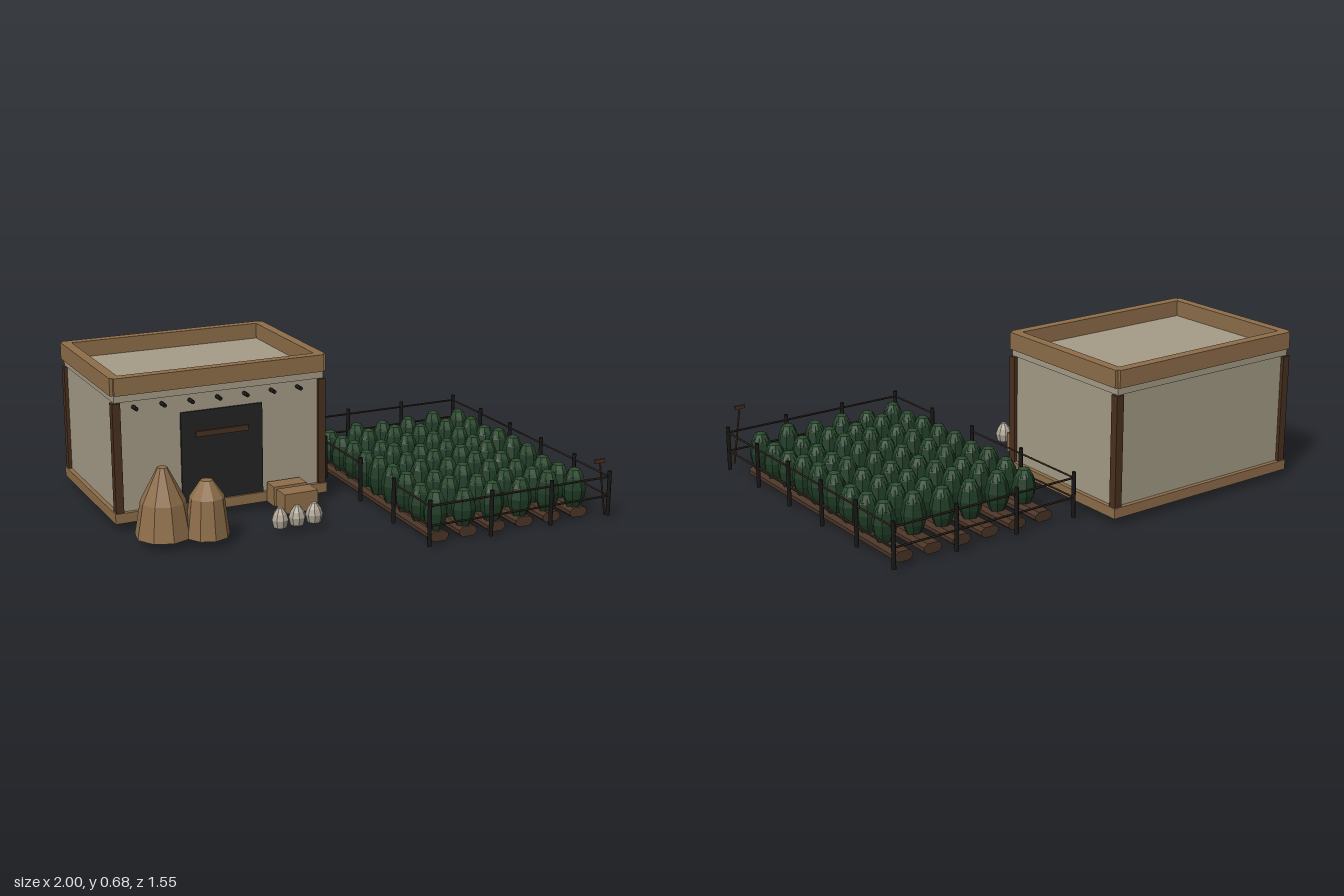
import * as THREE from 'three';

const mat = (name, color) => {
  const m = new THREE.MeshStandardMaterial({ color });
  m.name = name;
  return m;
};

export function createModel() {
  const root = new THREE.Group();
  root.name = 'farmstead';
  const M = {
    plaster: mat('plaster', 0xa59c87),
    clay: mat('clay', 0x8e6e4a),
    timber: mat('timber', 0x49301f),
    door: mat('doorBlack', 0x232323),
    soil: mat('soil', 0x4a3427),
    leaf: mat('darkLeaf', 0x1e3a24),
    tip: mat('lightLeaf', 0x2a4a2d),
    post: mat('fencePost', 0x191817),
    rail: mat('fenceRail', 0x2b2019),
    sack: mat('sackCloth', 0xb0a697),
  };

  // Helpers
  const group = (name) => {
    const g = new THREE.Group();
    g.name = name;
    root.add(g);
    return g;
  };
  const add = (parent, name, geo, m, x = 0, y = 0, z = 0) => {
    const mesh = new THREE.Mesh(geo, m);
    mesh.name = name;
    mesh.position.set(x, y, z);
    parent.add(mesh);
    return mesh;
  };
  // Box from its minimum and maximum corners
  const box = (parent, name, m, x0, x1, y0, y1, z0, z1) =>
    add(parent, name, new THREE.BoxGeometry(x1 - x0, y1 - y0, z1 - z0), m,
      (x0 + x1) / 2, (y0 + y1) / 2, (z0 + z1) / 2);
  const faceted = (geo) => {
    const g = geo.index ? geo.toNonIndexed() : geo;
    g.computeVertexNormals();
    return g;
  };
  const lathe = (profile, sides) => faceted(
    new THREE.LatheGeometry(profile.map(([r, y]) => new THREE.Vector2(r, y)), sides));
  // Thin rod between two points
  const rod = (parent, name, m, a, b, r, sides = 6) => {
    const p = new THREE.Vector3(...a), q = new THREE.Vector3(...b);
    const d = q.clone().sub(p);
    const mesh = add(parent, name, new THREE.CylinderGeometry(r, r, d.length(), sides), m);
    mesh.position.copy(p).add(q).multiplyScalar(0.5);
    mesh.quaternion.setFromUnitVectors(new THREE.Vector3(0, 1, 0), d.normalize());
    return mesh;
  };

  // House: plinth, walls, roof slab
  const house = group('house');
  box(house, 'plinth', M.clay, -1, 0, 0.035, 0.08, -0.777, -0.038);
  box(house, 'walls', M.plaster, -0.98, -0.02, 0.08, 0.57, -0.757, -0.057);
  box(house, 'roofSlab', M.plaster, -0.985, -0.015, 0.568, 0.605, -0.764, -0.05);

  // Parapet with small notches at the corners
  for (const [x0, x1] of [[-1, -0.955], [-0.045, 0]])
    box(house, 'parapetSide', M.clay, x0, x1, 0.6, 0.677, -0.763, -0.052);
  for (const [z0, z1] of [[-0.777, -0.732], [-0.083, -0.038]])
    box(house, 'parapetEnd', M.clay, -0.986, -0.014, 0.6, 0.677, z0, z1);

  // Corner posts
  for (const x of [-0.977, -0.023])
    for (const z of [-0.754, -0.061])
      box(house, 'cornerPost', M.timber, x - 0.018, x + 0.018, 0.08, 0.566, z - 0.018, z + 0.018);

  // Door, its bar and the row of beam ends
  box(house, 'door', M.door, -0.69, -0.31, 0.08, 0.49, -0.065, -0.048);
  box(house, 'doorBar', M.timber, -0.625, -0.38, 0.376, 0.4, -0.05, -0.038);
  for (let i = 0; i < 7; i++) {
    const x = -0.898 + i * 0.1265;
    rod(house, 'beamEnd', M.post, [x, 0.542, -0.065], [x, 0.542, -0.012], 0.009, 8);
  }

  // Clay heaps
  const heaps = group('heaps');
  const heap = (x, z, r, h, topR, shoulder) => add(heaps, 'heap', lathe([
    [0, 0], [r, 0], [r * 0.78, shoulder], [topR, h], [0, h]], 9), M.clay, x, 0.035, z);
  heap(-0.855, 0.163, 0.125, 0.298, 0.022, 0.15);
  heap(-0.69, 0.243, 0.096, 0.243, 0.026, 0.17);

  // Sacks
  const sacks = group('sacks');
  const sackGeo = lathe([[0, 0], [0.03, 0], [0.038, 0.035], [0.03, 0.06], [0.012, 0.085], [0, 0.085]], 8);
  for (let i = 0; i < 3; i++)
    add(sacks, 'sack', sackGeo, M.sack, -0.377 + i * 0.08, 0.035, 0.288).rotation.y = i * 0.6;

  // Crates beside the door
  const crates = group('crates');
  box(crates, 'backCrate', M.clay, -0.297, -0.139, 0.035, 0.125, -0.038, 0.043);
  box(crates, 'frontCrate', M.clay, -0.297, -0.139, 0.035, 0.125, 0.07, 0.158);

  // Field: soil ridges with rows of plants
  const field = group('field');
  const ridge = new THREE.Shape([[-0.026, 0], [0.026, 0], [0.043, 0.014], [0.043, 0.031],
    [0.026, 0.045], [-0.026, 0.045], [-0.043, 0.031], [-0.043, 0.014]]
    .map(([x, y]) => new THREE.Vector2(x, y)));
  const ridgeGeo = new THREE.ExtrudeGeometry(ridge, { depth: 1.204, bevelEnabled: false });
  const bodyGeo = lathe([[0, 0], [0.03, 0], [0.048, 0.05], [0.053, 0.09], [0.043, 0.14], [0.03, 0.165], [0, 0.165]], 8);
  const tipGeo = lathe([[0.034, 0.125], [0.04, 0.146], [0.026, 0.18], [0, 0.19]], 7);
  let seed = 7;
  const rand = () => (seed = (seed * 16807) % 2147483647) / 2147483647;
  for (let i = 0; i < 6; i++) {
    const x = 0.195 + i * 0.1396;
    add(field, 'soilRidge', ridgeGeo, M.soil, x, 0, -0.551);
    for (let j = 0; j < 9; j++) {
      const plant = new THREE.Group();
      plant.name = 'plant';
      add(plant, 'leaves', bodyGeo, M.leaf);
      add(plant, 'leafTip', tipGeo, M.tip);
      plant.position.set(x, 0.035, -0.412 + j * 0.1277);
      plant.scale.y = 0.88 + rand() * 0.14;
      plant.rotation.y = rand() * 0.4;
      field.add(plant);
    }
  }

  // Fence, open on the house side
  const fence = group('fence');
  const X0 = 0.1, X1 = 0.99, Z0 = -0.63, Z1 = 0.735;
  const run = (a, b, n) => {
    for (let i = 0; i <= n; i++) {
      const x = a[0] + (b[0] - a[0]) * i / n, z = a[1] + (b[1] - a[1]) * i / n;
      rod(fence, 'fencePost', M.post, [x, 0.02, z], [x, 0.223, z], 0.009);
    }
    for (const y of [0.11, 0.197])
      rod(fence, 'fenceRail', M.rail, [a[0], y, a[1]], [b[0], y, b[1]], 0.0045);
  };
  run([X0, Z1], [X1, Z1], 3);
  run([X0, Z0], [X1, Z0], 3);
  run([X1, Z0], [X1, Z1], 5);
  run([X0, Z0], [X0, 0.1], 2);
  run([X0, 0.417], [X0, Z1], 1);

  // Hoe leaning on the fence
  const hoe = group('hoe');
  rod(hoe, 'hoeHandle', M.timber, [0.955, 0.035, 0.758], [0.908, 0.29, 0.773], 0.004);
  box(hoe, 'hoeHead', M.timber, 0.882, 0.932, 0.283, 0.299, 0.768, 0.777);

  return root;
}
